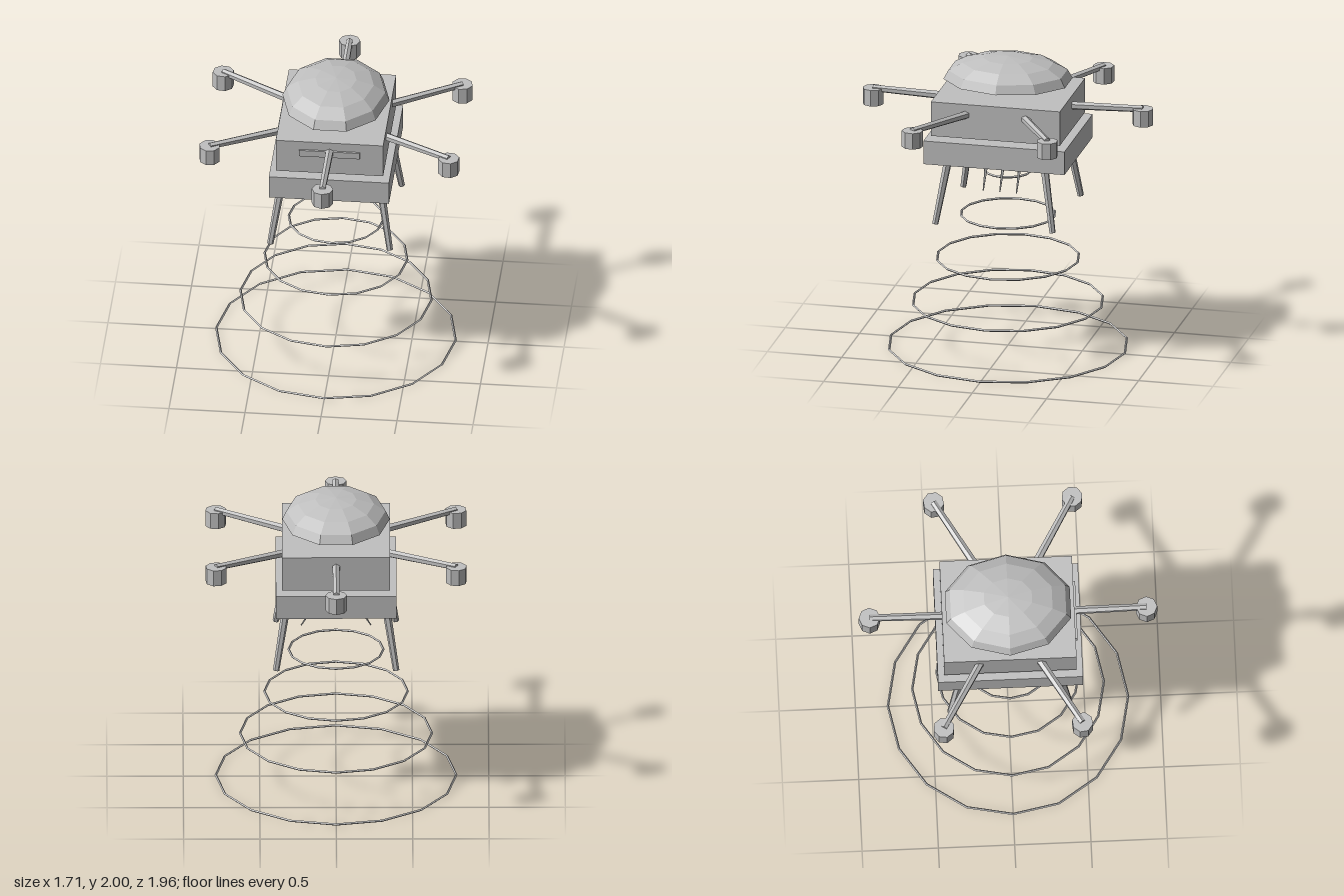
import * as THREE from 'three';

export function createModel() {
  const root = new THREE.Group();
  const grey = new THREE.MeshStandardMaterial({ color: 0xc0c0c0, flatShading: true, side: THREE.DoubleSide });
  grey.name = 'plain grey';

  function add(geometry, name, x = 0, y = 0, z = 0) {
    const mesh = new THREE.Mesh(geometry, grey);
    mesh.name = name;
    mesh.position.set(x, y, z);
    root.add(mesh);
    return mesh;
  }

  // Box given by its half width, height range and half depth
  const slab = (name, hx, y0, y1, hz, z = 0) =>
    add(new THREE.BoxGeometry(hx * 2, y1 - y0, hz * 2), name, 0, (y0 + y1) / 2, z);

  // Tapered rod running from point a (radius ra) to point b (radius rb)
  function rod(name, a, b, ra, rb, sides) {
    const from = new THREE.Vector3(...a), to = new THREE.Vector3(...b);
    const dir = to.clone().sub(from);
    const mesh = add(new THREE.CylinderGeometry(rb, ra, dir.length(), sides), name);
    mesh.position.copy(from).add(to).multiplyScalar(0.5);
    mesh.quaternion.setFromUnitVectors(new THREE.Vector3(0, 1, 0), dir.normalize());
  }

  // Stacked body
  slab('upperBody', 0.353, 1.53, 1.765, 0.434);
  slab('lowerBody', 0.395, 1.345, 1.505, 0.475);
  slab('bellyPlate', 0.355, 1.333, 1.35, 0.434);
  slab('frontPanel', 0.2, 1.66, 1.705, 0.01, 0.438);

  // Open faceted dome floating above the body
  const dome = add(new THREE.SphereGeometry(1, 10, 4, 0, Math.PI * 2, 0, Math.PI / 2), 'dome', 0, 1.845, 0);
  dome.scale.set(0.352, 0.155, 0.43);

  // Six radial arms with rotor pods
  for (let i = 0; i < 6; i++) {
    const a = Math.PI / 6 + i * Math.PI / 3;
    const c = Math.cos(a), s = Math.sin(a);
    rod('arm', [c * 0.34, 1.69, s * 0.34], [c * 0.908, 1.706, s * 0.908], 0.028, 0.023, 6);
    const pod = add(new THREE.CylinderGeometry(0.07, 0.07, 0.11, 8), 'rotorPod', c * 0.908, 1.655, s * 0.908);
    pod.rotation.y = -a;
  }

  // Splayed legs, and thin spikes crossing under the belly
  for (const sx of [-1, 1]) {
    for (const sz of [-1, 1]) {
      rod('leg', [sx * 0.32, 1.4, sz * 0.318], [sx * 0.393, 0.938, sz * 0.395], 0.028, 0.021, 6);
    }
    for (const z of [-0.112, 0, 0.112]) {
      rod('spike', [sx * -0.02, 1.535, z], [sx * 0.228, 1.135, z], 0.024, 0.004, 5);
    }
  }

  // Widening rings below
  for (let i = 0; i < 5; i++) {
    const ring = add(new THREE.TorusGeometry(0.787 - i * 0.159, 0.008, 4, 16), 'beamRing', 0, 0.008 + i * 0.301, 0);
    ring.rotation.x = Math.PI / 2;
  }

  return root;
}
